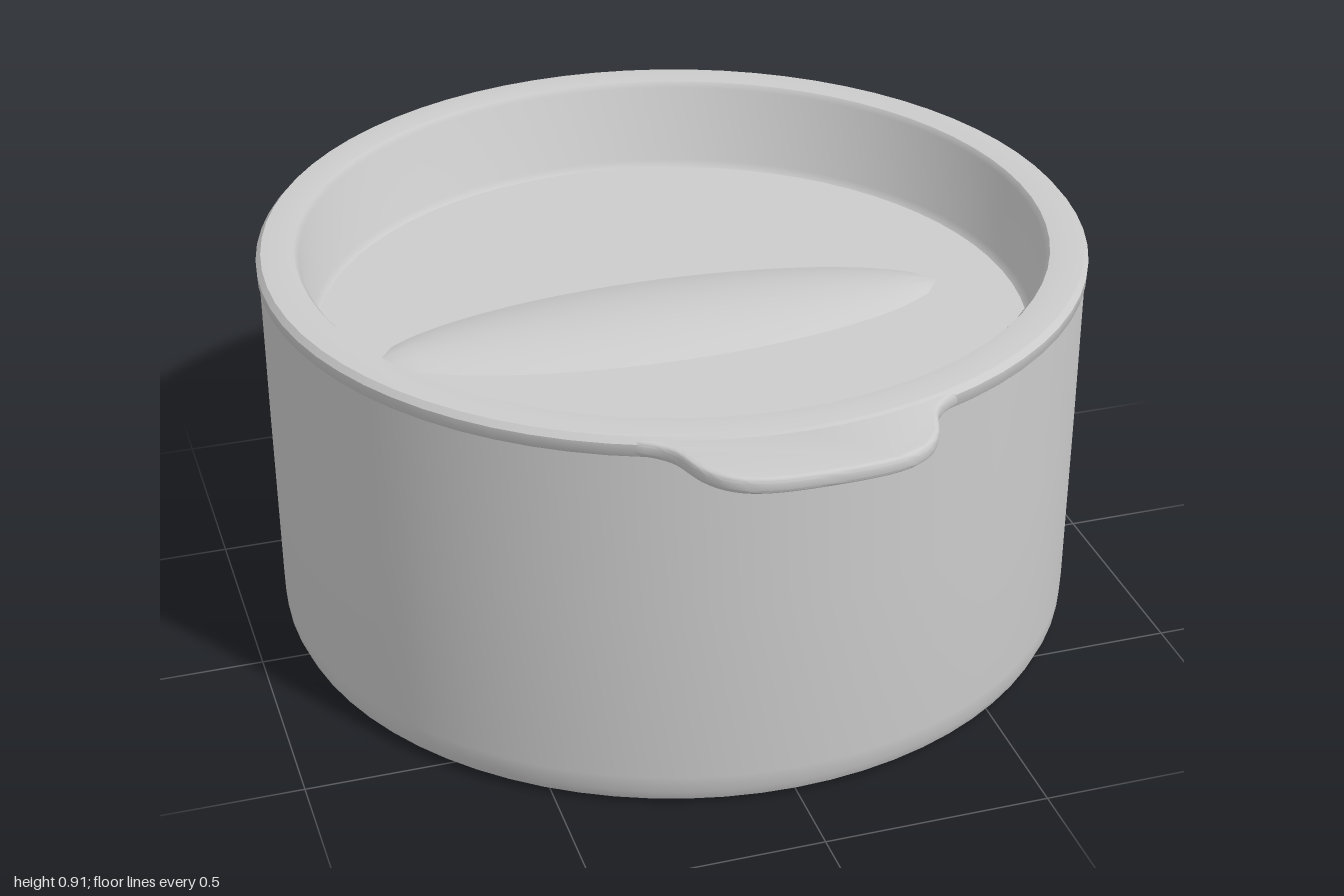
import * as THREE from 'three';
import { toCreasedNormals } from 'three/addons/utils/BufferGeometryUtils.js';

const CENTER_Z = -0.08;
const FLOOR_Y = 0.69;

export function createModel() {
  const model = new THREE.Group();
  const material = new THREE.MeshStandardMaterial({ color: 0xcccccc });

  function add(name, geometry, z = 0) {
    const mesh = new THREE.Mesh(toCreasedNormals(geometry, 0.7), material);
    mesh.name = name;
    mesh.position.z = z;
    model.add(mesh);
  }

  function revolve(profile) {
    return new THREE.LatheGeometry(profile.map(([r, y]) => new THREE.Vector2(r, y)), 72);
  }

  // Round tub with a hollowed underside and a rounded bottom edge
  add('tub', revolve([
    [0, 0.18], [0.785, 0.18], [0.81, 0.1], [0.835, 0.04], [0.86, 0.008], [0.875, 0.003],
    [0.9, 0.015], [0.911, 0.04], [0.914, 0.08], [0.917, 0.5], [0.918, 0.87],
  ]), CENTER_Z);

  // Lid: raised rim, inner wall and sunken floor
  add('lid', revolve([
    [0.915, 0.862], [0.922, 0.87], [0.923, 0.895], [0.912, 0.908], [0.87, 0.911],
    [0.838, 0.908], [0.828, 0.895], [0.818, FLOOR_Y + 0.015], [0.805, FLOOR_Y], [0, FLOOR_Y],
  ]), CENTER_Z);

  // Low lens-shaped grip across the lid floor
  const grip = new THREE.PlaneGeometry(2, 2, 32, 12).rotateX(-Math.PI / 2);
  const p = grip.attributes.position;
  for (let i = 0; i < p.count; i++) {
    const u = p.getX(i), v = p.getZ(i);
    const taper = Math.pow(Math.max(0, 1 - u * u), 0.6);
    p.setXYZ(i, u * 0.66 - 0.02, FLOOR_Y + 0.001 + 0.035 * taper * (1 - v * v), v * 0.195 * taper);
  }
  add('lidGrip', grip, -0.075);

  // Pull tab with flared shoulders, blending into the rim
  const tab = new THREE.Shape();
  tab.moveTo(-0.36, 0.72);
  tab.lineTo(-0.34, 0.765);
  tab.bezierCurveTo(-0.24, 0.82, -0.27, 0.86, -0.23, 0.92);
  tab.bezierCurveTo(-0.19, 0.98, -0.13, 0.99, 0, 0.99);
  tab.bezierCurveTo(0.13, 0.99, 0.19, 0.98, 0.23, 0.92);
  tab.bezierCurveTo(0.27, 0.86, 0.24, 0.82, 0.34, 0.765);
  tab.lineTo(0.36, 0.72);
  tab.quadraticCurveTo(0, 0.86, -0.36, 0.72);
  const tabGeometry = new THREE.ExtrudeGeometry(tab, {
    depth: 0.016, bevelEnabled: true, bevelThickness: 0.01, bevelSize: 0.01, bevelSegments: 3, curveSegments: 12,
  });
  tabGeometry.rotateX(Math.PI / 2).translate(0, 0.892, 0);
  add('pullTab', tabGeometry);

  return model;
}
